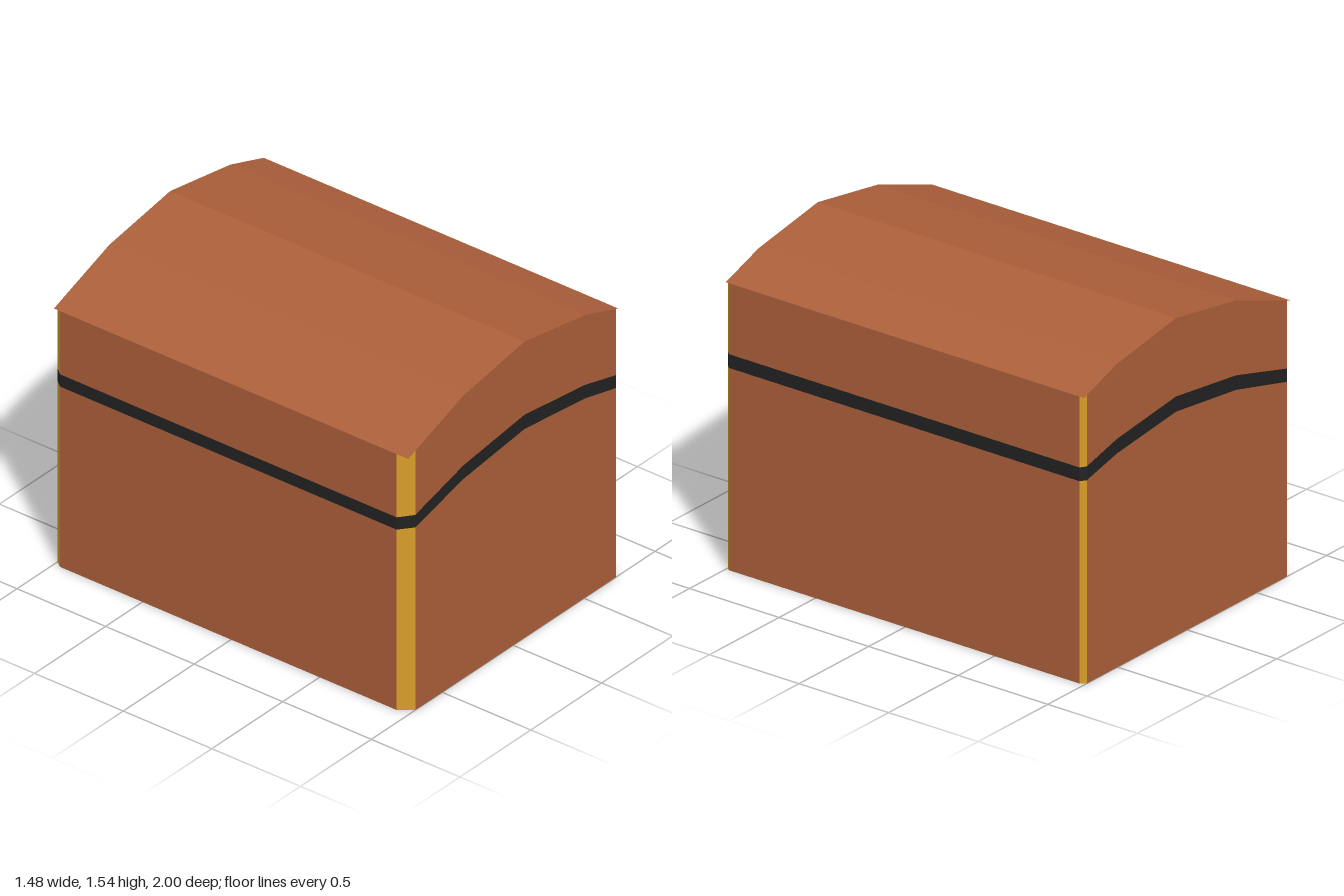
import * as THREE from 'three';

// Roof profile, x against height
const profile = [[-0.74, 1.33], [-0.35, 1.47], [0.08, 1.54], [0.505, 1.47], [0.74, 1.39]];
// Footprint [x, z], counter-clockwise seen from below the front edge; odd edges are corner bevels
const ring = [
  [-0.69, 1], [0.725, 1],
  [0.74, 0.982], [0.74, -0.975],
  [0.72, -1], [-0.715, -1],
  [-0.74, -0.965], [-0.74, 0.935],
];
const bandLow = 0.705, bandHigh = 0.753; // band edges as a share of the roof height

function roofHeight(x) {
  for (let i = 1; i < profile.length; i++) {
    const [x0, y0] = profile[i - 1], [x1, y1] = profile[i];
    if (x <= x1) return y0 + (y1 - y0) * (x - x0) / (x1 - x0);
  }
  return profile[profile.length - 1][1];
}

// Flat-shaded surface from a list of quads, each with four corners
function quadMesh(name, quads, material) {
  const pos = [];
  for (const [a, b, c, d] of quads) pos.push(...a, ...b, ...c, ...a, ...c, ...d);
  const geo = new THREE.BufferGeometry();
  geo.setAttribute('position', new THREE.Float32BufferAttribute(pos, 3));
  geo.computeVertexNormals();
  const mesh = new THREE.Mesh(geo, material);
  mesh.name = name;
  return mesh;
}

// Split a footprint edge wherever the roof profile bends
function splitEdge(a, b) {
  const stops = profile.map(([x]) => (x - a[0]) / (b[0] - a[0]))
    .filter((t) => t > 0.001 && t < 0.999);
  return [0, ...stops, 1].sort((p, q) => p - q)
    .map((t) => [a[0] + (b[0] - a[0]) * t, a[1] + (b[1] - a[1]) * t]);
}

// Upright strip along an edge between two shares of the roof height
function strip(points, low, high) {
  const at = ([x, z], f) => [x, roofHeight(x) * f, z];
  return points.slice(1).map((q, i) => {
    const p = points[i];
    return [at(p, low), at(q, low), at(q, high), at(p, high)];
  });
}

export function createModel() {
  const clay = new THREE.MeshStandardMaterial({ color: 0xac5f3a, side: THREE.DoubleSide });
  clay.name = 'clay';
  const gold = new THREE.MeshStandardMaterial({ color: 0xd89e28, side: THREE.DoubleSide });
  gold.name = 'gold';
  const black = new THREE.MeshStandardMaterial({ color: 0x222222, side: THREE.DoubleSide });
  black.name = 'black';

  const walls = [], bevels = [], band = [];
  ring.forEach((a, i) => {
    const points = splitEdge(a, ring[(i + 1) % ring.length]);
    const target = i % 2 ? bevels : walls;
    target.push(...strip(points, 0, bandLow), ...strip(points, bandHigh, 1));
    band.push(...strip(points, bandLow, bandHigh));
  });

  // Faceted roof reaching over the bevelled corners
  const roof = profile.slice(1).map(([x1, y1], i) => {
    const [x0, y0] = profile[i];
    return [[x0, y0, 1], [x1, y1, 1], [x1, y1, -1], [x0, y0, -1]];
  });

  // Floor facing down
  const floorGeo = new THREE.ShapeGeometry(
    new THREE.Shape(ring.map(([x, z]) => new THREE.Vector2(x, z))));
  floorGeo.rotateX(Math.PI / 2);
  const floor = new THREE.Mesh(floorGeo, clay);
  floor.name = 'floor';

  const group = new THREE.Group();
  group.name = 'archedBox';
  group.add(
    quadMesh('walls', walls, clay),
    quadMesh('cornerBevels', bevels, gold),
    quadMesh('band', band, black),
    quadMesh('roof', roof, clay),
    floor,
  );
  return group;
}
